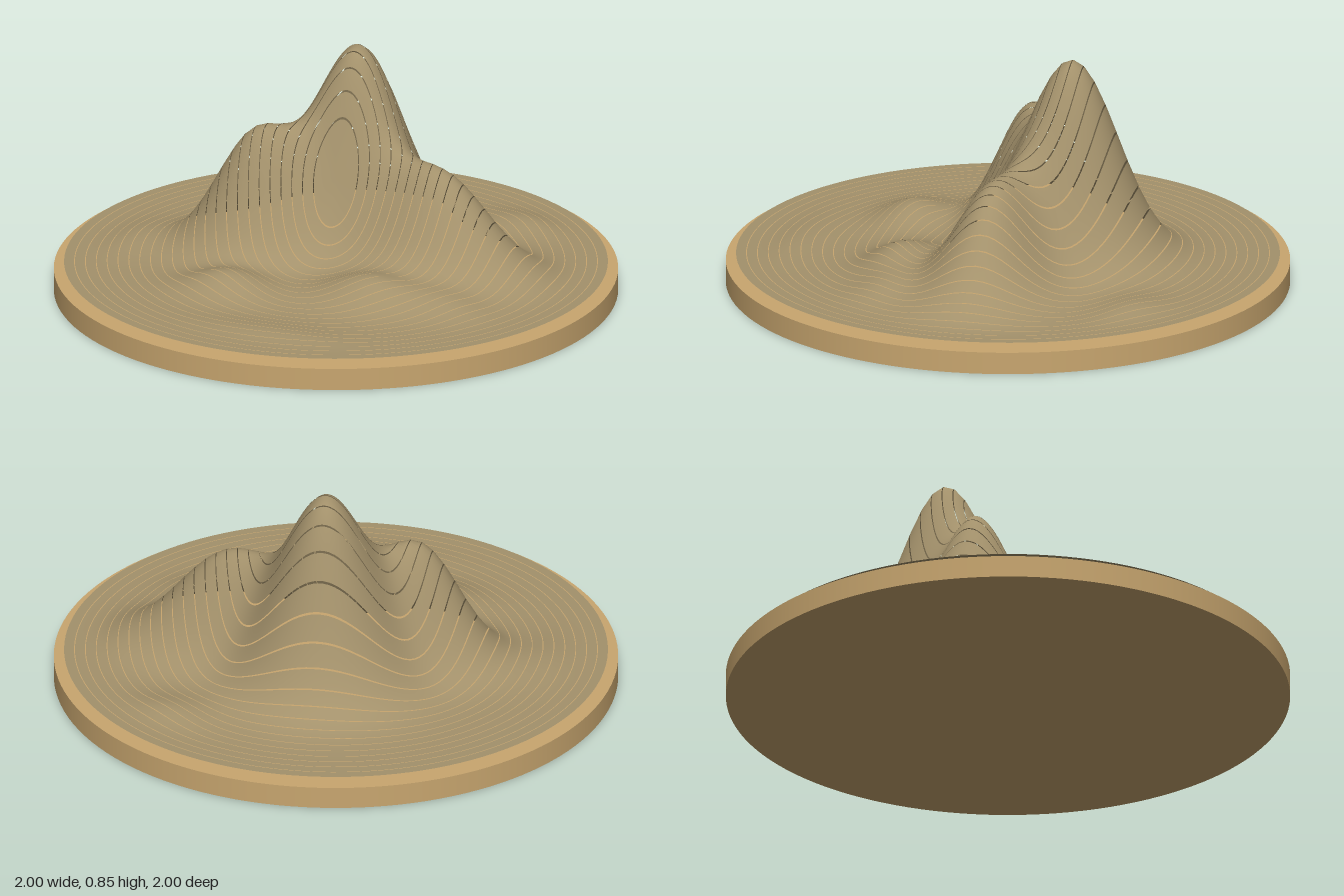
import * as THREE from 'three';

const BASE_Y = 0.105, CORE = 0.08, EDGE = 0.965, RINGS = 23, GAP = 0.003;

// Hills: x, z, height, spread in x, spread in z
const HILLS = [
  [-0.03, -0.24, 0.715, 0.16, 0.16],  // main peak
  [-0.31, 0.02, 0.42, 0.145, 0.12],   // left shoulder
  [0.37, -0.07, 0.37, 0.19, 0.13],    // right shoulder
  [0.28, 0.31, 0.09, 0.14, 0.09],     // front foothills
  [0.56, 0.27, 0.035, 0.1, 0.08],
  [-0.22, 0.43, 0.075, 0.12, 0.09],
  [0.45, -0.62, 0.03, 0.12, 0.09],    // low dunes
  [-0.74, 0.1, 0.018, 0.08, 0.14],
  [0.1, 0.74, 0.016, 0.2, 0.07],
];

function height(x, z) {
  let h = 0;
  for (const [cx, cz, amp, sx, sz] of HILLS) {
    h += amp * Math.exp(-(((x - cx) / sx) ** 2 + ((z - cz) / sz) ** 2) / 2);
  }
  // fade to a flat outer band
  return BASE_Y + h * (1 - THREE.MathUtils.smoothstep(Math.hypot(x, z), 0.76, 0.93));
}

// Lay a flat disc or ring on the landscape, with smooth slope normals
function drape(geometry) {
  geometry.rotateX(-Math.PI / 2);
  const p = geometry.attributes.position, n = geometry.attributes.normal;
  const v = new THREE.Vector3(), e = 0.004;
  for (let i = 0; i < p.count; i++) {
    const x = p.getX(i), z = p.getZ(i);
    p.setY(i, height(x, z));
    v.set(height(x - e, z) - height(x + e, z), 2 * e, height(x, z - e) - height(x, z + e)).normalize();
    n.setXYZ(i, v.x, v.y, v.z);
  }
  return geometry;
}

export function createModel() {
  const model = new THREE.Group();
  model.name = 'ringedLandscape';
  const wood = new THREE.MeshStandardMaterial({ color: 0xc8a66f });
  wood.name = 'wood';
  const earth = new THREE.MeshStandardMaterial({ color: 0xa3916b, side: THREE.DoubleSide });
  earth.name = 'earth';

  const add = (name, geometry, material, parent) => {
    const mesh = new THREE.Mesh(geometry, material);
    mesh.name = name;
    parent.add(mesh);
    return mesh;
  };

  // Round base plate
  add('basePlate', new THREE.CylinderGeometry(1, 1, 0.08, 128), wood, model).position.y = 0.04;

  // Landscape floating above the plate, cut into concentric ribbons
  const terrain = new THREE.Group();
  terrain.name = 'terrain';
  model.add(terrain);
  add('centreDisc', drape(new THREE.CircleGeometry(CORE - GAP / 2, 128)), earth, terrain);
  const step = (EDGE - CORE) / RINGS;
  for (let i = 0; i < RINGS; i++) {
    const inner = CORE + i * step + GAP / 2;
    add(`terrainRing${i + 1}`, drape(new THREE.RingGeometry(inner, inner + step - GAP, 128, 1)), earth, terrain);
  }
  return model;
}
